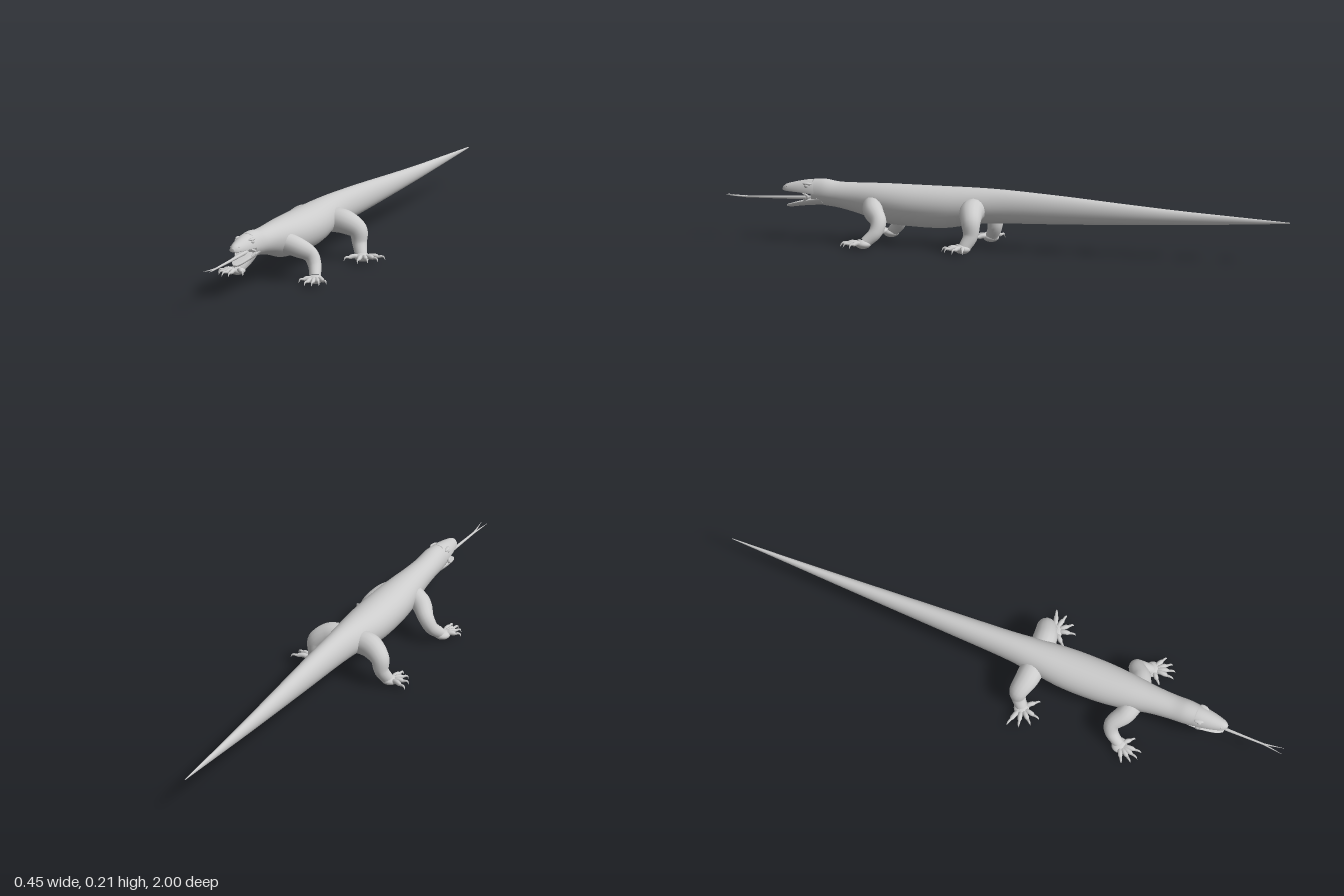
import * as THREE from 'three';

const skin = new THREE.MeshStandardMaterial({ color: 0xcccccc });
const V = (p) => new THREE.Vector3(...p);

function add(parent, name, geometry) {
  const mesh = new THREE.Mesh(geometry, skin);
  mesh.name = name;
  parent.add(mesh);
  return mesh;
}

// Smooth value at t (0..1) through a list of numbers
function smooth(list, t) {
  const n = list.length - 1;
  const i = Math.min(Math.floor(t * n), n - 1);
  const at = (k) => list[Math.max(0, Math.min(n, k))];
  return THREE.MathUtils.clamp(
    new THREE.CatmullRomCurve3([-1, 0, 1, 2].map((k) => new THREE.Vector3(at(i + k), k, 0)), false, 'catmullrom', 0.5)
      .getPoint((1 + t * n - i) / 3).x,
    Math.min(at(i), at(i + 1)) - 0.02, Math.max(at(i), at(i + 1)) + 0.02);
}

// Skin over cross-sections [z, halfWidth, midY, up, down], from back to front
function loft(sections, rings, sides = 32) {
  const pos = [], idx = [];
  const columns = [0, 1, 2, 3, 4].map((c) => sections.map((s) => s[c]));
  for (let i = 0; i <= rings; i++) {
    const [z, w, mid, up, down] = columns.map((c) => smooth(c, i / rings));
    for (let j = 0; j < sides; j++) {
      const a = (j / sides) * Math.PI * 2, s = Math.sin(a);
      pos.push(w * Math.cos(a), mid + s * (s > 0 ? up : down), z);
      if (i < rings) {
        const p = i * sides + j, q = i * sides + ((j + 1) % sides);
        idx.push(p, q, p + sides, q, q + sides, p + sides);
      }
    }
  }
  // End caps
  [0, rings].forEach((r) => {
    const [z, , mid] = columns.map((c) => smooth(c, r / rings));
    const centre = pos.length / 3;
    pos.push(0, mid, z);
    for (let j = 0; j < sides; j++) {
      const p = r * sides + j, q = r * sides + ((j + 1) % sides);
      idx.push(centre, ...(r ? [p, q] : [q, p]));
    }
  });
  const g = new THREE.BufferGeometry();
  g.setAttribute('position', new THREE.Float32BufferAttribute(pos, 3));
  g.setIndex(idx);
  g.computeVertexNormals();
  return g;
}

// Tube whose radius follows a list of values along its length
function taperedTube(points, radii, segs = 24, sides = 16) {
  const curve = new THREE.CatmullRomCurve3(points.map(V));
  const g = new THREE.TubeGeometry(curve, segs, 1, sides);
  const p = g.attributes.position, v = new THREE.Vector3();
  for (let i = 0; i <= segs; i++) {
    const c = curve.getPointAt(i / segs), r = Math.max(0.0002, smooth(radii, i / segs));
    for (let j = 0; j <= sides; j++) {
      const k = i * (sides + 1) + j;
      v.fromBufferAttribute(p, k).sub(c).multiplyScalar(r).add(c);
      p.setXYZ(k, v.x, v.y, v.z);
    }
  }
  return g;
}

function ball(parent, name, at, size) {
  const m = add(parent, name, new THREE.SphereGeometry(1, 20, 14));
  m.position.set(...at);
  m.scale.set(...size);
  return m;
}

const legs = [
  {
    name: 'frontLeg',
    path: [[0.03, 0.135, 0.47], [0.072, 0.118, 0.455], [0.108, 0.089, 0.425], [0.126, 0.055, 0.43], [0.142, 0.023, 0.46]],
    radii: [0.036, 0.034, 0.028, 0.023, 0.019],
    palm: [0.146, 0.017, 0.466],
    toes: [[0.104, 0.508], [0.142, 0.545], [0.168, 0.541], [0.188, 0.524], [0.203, 0.496]],
  },
  {
    name: 'hindLeg',
    path: [[0.03, 0.135, 0.11], [0.08, 0.13, 0.105], [0.122, 0.102, 0.092], [0.128, 0.058, 0.092], [0.142, 0.023, 0.108]],
    radii: [0.042, 0.041, 0.034, 0.026, 0.021],
    palm: [0.148, 0.017, 0.112],
    toes: [[0.103, 0.163], [0.163, 0.182], [0.193, 0.163], [0.215, 0.128], [0.223, 0.088]],
  },
];

function makeLeg(spec, side) {
  const leg = new THREE.Group();
  leg.name = (side > 0 ? 'left' : 'right') + spec.name[0].toUpperCase() + spec.name.slice(1);
  const flip = ([x, y, z]) => [x * side, y, z];
  add(leg, 'limb', taperedTube(spec.path.map(flip), spec.radii));
  ball(leg, 'palm', flip(spec.palm), [0.028, 0.015, 0.026]);
  const [bx, , bz] = spec.palm;
  spec.toes.forEach(([tx, tz]) => {
    const along = (t, y) => flip([bx + (tx - bx) * t, y, bz + (tz - bz) * t]);
    add(leg, 'toe', taperedTube([along(0.15, 0.016), along(0.45, 0.023), along(0.78, 0.018)],
      [0.009, 0.0085, 0.008, 0.0075, 0.002], 12, 10));
    add(leg, 'claw', taperedTube([along(0.7, 0.02), along(0.9, 0.021), along(1, 0.008)],
      [0.0048, 0.004, 0.0025, 0], 8, 8));
  });
  return leg;
}

export function createModel() {
  const model = new THREE.Group();
  model.name = 'lizard';

  // Trunk, neck and tail in one skin
  add(model, 'body', loft([
    [-1, 0.001, 0.138, 0.002, 0.002],
    [-0.8, 0.009, 0.138, 0.013, 0.014],
    [-0.6, 0.018, 0.138, 0.024, 0.025],
    [-0.4, 0.027, 0.14, 0.036, 0.036],
    [-0.2, 0.036, 0.143, 0.048, 0.047],
    [0, 0.046, 0.145, 0.058, 0.055],
    [0.11, 0.058, 0.142, 0.064, 0.058],
    [0.22, 0.069, 0.137, 0.069, 0.072],
    [0.34, 0.069, 0.138, 0.068, 0.073],
    [0.44, 0.06, 0.145, 0.061, 0.072],
    [0.53, 0.047, 0.155, 0.049, 0.055],
    [0.6, 0.042, 0.16, 0.044, 0.044],
    [0.65, 0.041, 0.164, 0.047, 0.042],
    [0.69, 0.037, 0.164, 0.045, 0.036],
  ], 104));

  // Head with the mouth open
  const head = new THREE.Group();
  head.name = 'head';
  model.add(head);
  add(head, 'upperJaw', loft([
    [0.66, 0.039, 0.163, 0.047, 0.006],
    [0.7, 0.037, 0.164, 0.044, 0.005],
    [0.735, 0.032, 0.166, 0.036, 0.004],
    [0.765, 0.025, 0.167, 0.028, 0.004],
    [0.788, 0.017, 0.168, 0.02, 0.004],
    [0.8, 0.006, 0.17, 0.008, 0.003],
  ], 30));
  add(head, 'lowerJaw', loft([
    [0.65, 0.036, 0.15, 0.004, 0.026],
    [0.69, 0.035, 0.142, 0.004, 0.021],
    [0.73, 0.029, 0.133, 0.002, 0.016],
    [0.765, 0.019, 0.124, 0.001, 0.012],
    [0.785, 0.006, 0.118, 0.001, 0.006],
  ], 30));

  for (const side of [1, -1]) {
    ball(head, 'eye', [side * 0.0305, 0.187, 0.708], [0.005, 0.006, 0.008]);
    const brow = ball(head, 'brow', [side * 0.026, 0.194, 0.706], [0.008, 0.005, 0.017]);
    brow.rotation.y = -side * 0.2;
    ball(head, 'nostril', [side * 0.0145, 0.181, 0.781], [0.003, 0.003, 0.004]);
    // Skin fold at the corner of the mouth
    add(head, 'cheekFold', taperedTube(
      [[side * 0.03, 0.163, 0.722], [side * 0.036, 0.152, 0.7], [side * 0.03, 0.136, 0.718]],
      [0.002, 0.005, 0.002], 12, 8));
    // Forked end of the tongue
    add(head, 'tongueFork', taperedTube(
      [[0, 0.138, 0.925], [side * 0.004, 0.139, 0.955], [side * 0.011, 0.142, 1]],
      [0.003, 0.002, 0.0005], 10, 8));
    // Legs
    legs.forEach((spec) => model.add(makeLeg(spec, side)));
  }
  add(head, 'tongue', taperedTube(
    [[0, 0.146, 0.68], [0, 0.143, 0.76], [0, 0.14, 0.85], [0, 0.138, 0.932]],
    [0.007, 0.006, 0.0045, 0.0035], 20, 10));

  return model;
}
